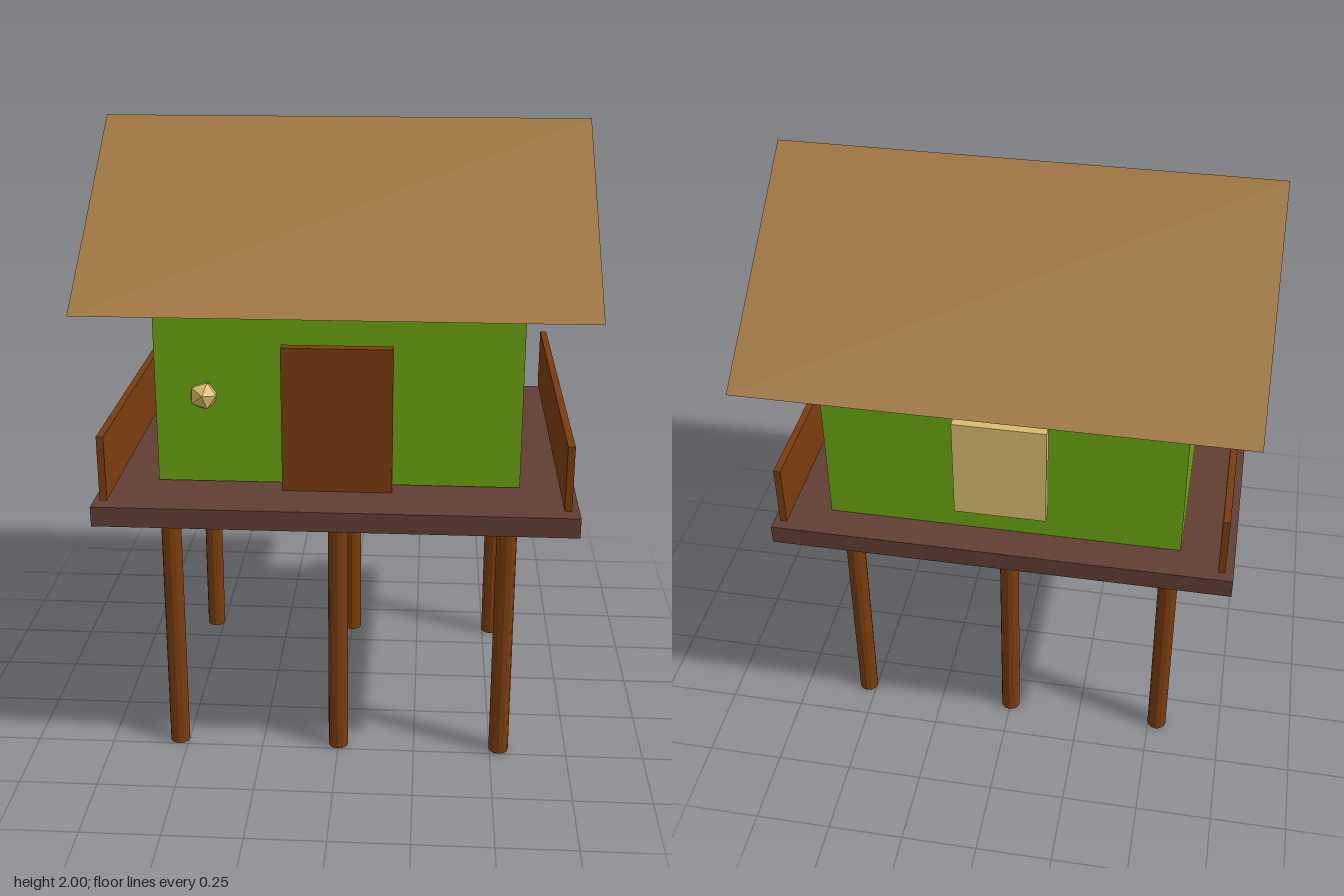
import * as THREE from 'three';

export function createModel() {
  const model = new THREE.Group();
  model.name = 'stiltHut';

  const material = (name, color) => {
    const m = new THREE.MeshStandardMaterial({ color, flatShading: true });
    m.name = name;
    return m;
  };
  const thatch = material('thatch', 0xa07640);
  const green = material('green wall', 0x6aa411);
  const wood = material('red brown wood', 0x7a3d0e);
  const plank = material('dark plank', 0x613f33);
  const tan = material('pale tan', 0xd8bc70);

  const add = (name, geometry, mat, x = 0, y = 0, z = 0) => {
    const mesh = new THREE.Mesh(geometry, mat);
    mesh.name = name;
    mesh.position.set(x, y, z);
    model.add(mesh);
    return mesh;
  };
  // Box given by its minimum and maximum along each axis
  const box = (name, mat, [x0, x1], [y0, y1], [z0, z1]) =>
    add(name, new THREE.BoxGeometry(x1 - x0, y1 - y0, z1 - z0), mat,
      (x0 + x1) / 2, (y0 + y1) / 2, (z0 + z1) / 2);

  // Deck and hut body
  box('deck', plank, [-0.735, 0.735], [0.86, 0.923], [-0.57, 0.672]);
  box('walls', green, [-0.565, 0.565], [0.926, 1.515], [-0.46, 0.448]);

  // Door slab and rear window, standing just off the walls
  box('door', wood, [-0.17, 0.17], [0.855, 1.383], [0.47, 0.507]);
  box('window', tan, [-0.145, 0.145], [1.03, 1.372], [-0.513, -0.478]);

  // Faceted lamp beside the door
  const lamp = add('lamp', new THREE.IcosahedronGeometry(0.047, 0), tan, -0.415, 1.21, 0.45);
  lamp.rotation.set(0.3, 0.2, 0.25);

  // Side railings
  for (const side of [-1, 1]) {
    const x = side * 0.697;
    box(side > 0 ? 'leftRailing' : 'rightRailing', wood,
      [x - 0.011, x + 0.011], [0.938, 1.143], [-0.552, 0.655]);
  }

  // Six stilts in two rows
  const stilt = new THREE.CylinderGeometry(0.032, 0.032, 0.87, 12);
  for (const z of [0.467, -0.363]) {
    for (const x of [-0.53, 0, 0.53]) add('stilt', stilt, wood, x, 0.435, z);
  }

  // Gable roof: a triangular prism running along x
  const gable = new THREE.Shape([
    new THREE.Vector2(-0.653, 1.512),
    new THREE.Vector2(0.665, 1.512),
    new THREE.Vector2(0.008, 2),
  ]);
  const roof = new THREE.ExtrudeGeometry(gable, { depth: 1.544, bevelEnabled: false });
  roof.translate(0, 0, -0.772).rotateY(Math.PI / 2);
  add('roof', roof, thatch);

  return model;
}
